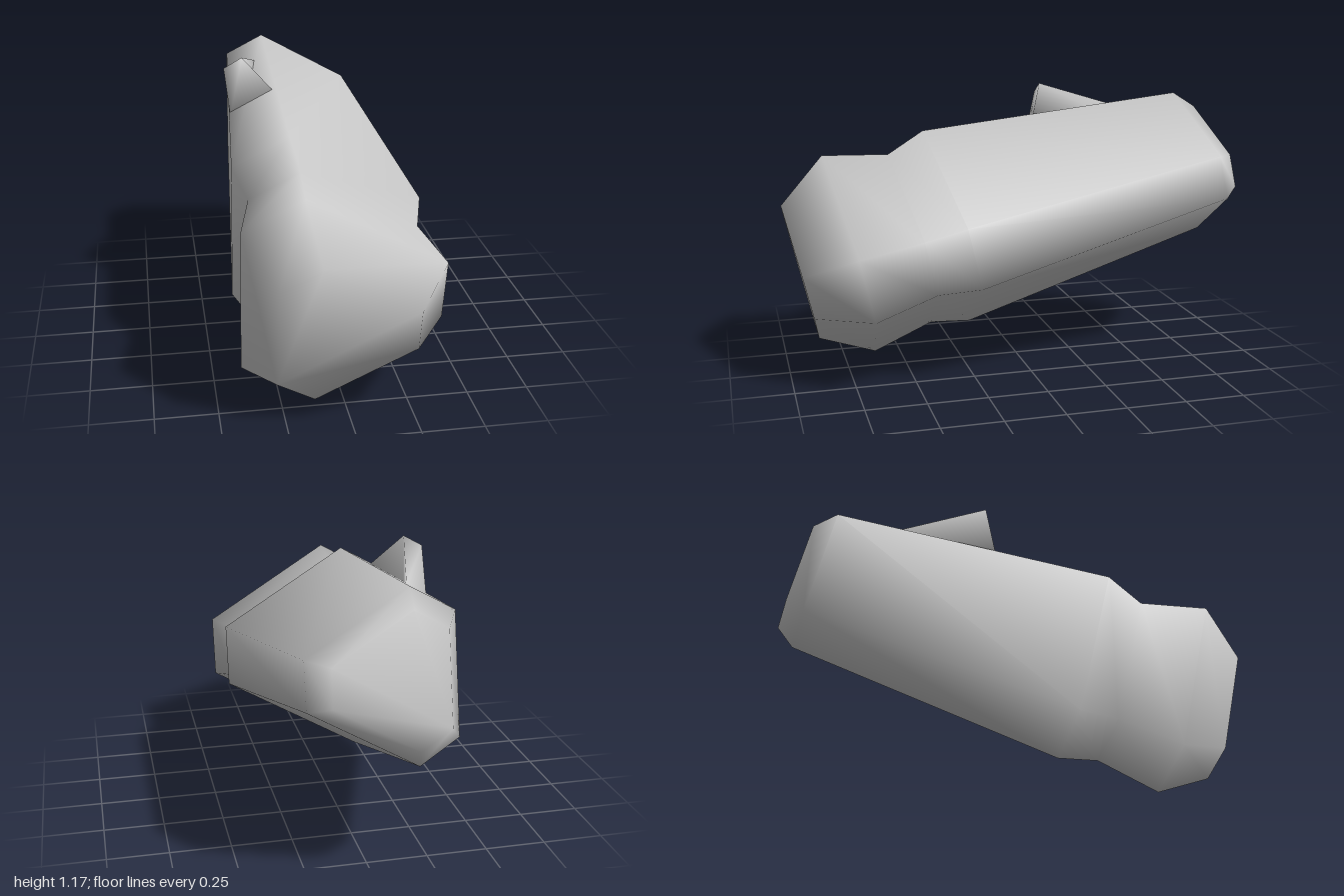
import * as THREE from 'three';

// Smooth closed loft through rings listed front to back, each counterclockwise seen from the front
function loft(rings) {
  const n = rings[0].length, last = (rings.length - 1) * n, index = [];
  for (let i = 0; i < rings.length - 1; i++) {
    for (let j = 0; j < n; j++) {
      const a = i * n + j, b = i * n + (j + 1) % n;
      index.push(a, a + n, b, b, a + n, b + n);
    }
  }
  for (let j = 1; j < n - 1; j++) {
    index.push(0, j, j + 1, last, last + j + 1, last + j);
  }
  const geometry = new THREE.BufferGeometry();
  geometry.setAttribute('position', new THREE.Float32BufferAttribute(rings.flat(2), 3));
  geometry.setIndex(index);
  geometry.computeVertexNormals();
  return geometry;
}

export function createModel() {
  const group = new THREE.Group();
  const bark = new THREE.MeshStandardMaterial({ color: 0xc8c8c8 });
  bark.name = 'grey bark';

  // Log: one blunt-cornered triangle, scaled along a rising, tilted axis
  const section = [[-0.4, -0.32], [-0.18, -0.4525], [0.4, -0.135], [0.4, 0.125], [-0.165, 0.4525], [-0.4, 0.325]];
  const stations = [ // scale, x, y, z
    [0.67, -0.017, 0.4, 0.93],
    [1, 0, 0.4525, 0.7125],
    [0.86, 0, 0.5125, 0.445],
    [0.98, 0, 0.5525, 0.275],
    [0.715, -0.02, 0.8075, -0.86],
    [0.55, -0.035, 0.82, -0.94],
  ];
  const rings = stations.map(([s, x, y, z]) =>
    section.map(([px, py]) => [x + s * px, y + s * py, z + 0.23 * s * py]));
  const log = new THREE.Mesh(loft(rings), bark);
  log.name = 'log';

  // Branch stub: a wedge rising toward the front and sinking into the log behind
  const stub = new THREE.Mesh(loft([
    [[-0.35, 0.93, -0.14], [-0.158, 1.035, -0.12], [-0.29, 1.175, -0.19], [-0.37, 1.13, -0.19]],
    [[-0.28, 0.95, -0.54], [-0.19, 1.0, -0.54], [-0.2, 1.07, -0.54], [-0.28, 1.025, -0.54]],
  ]), bark);
  stub.name = 'branchStub';

  group.add(log, stub);
  return group;
}
